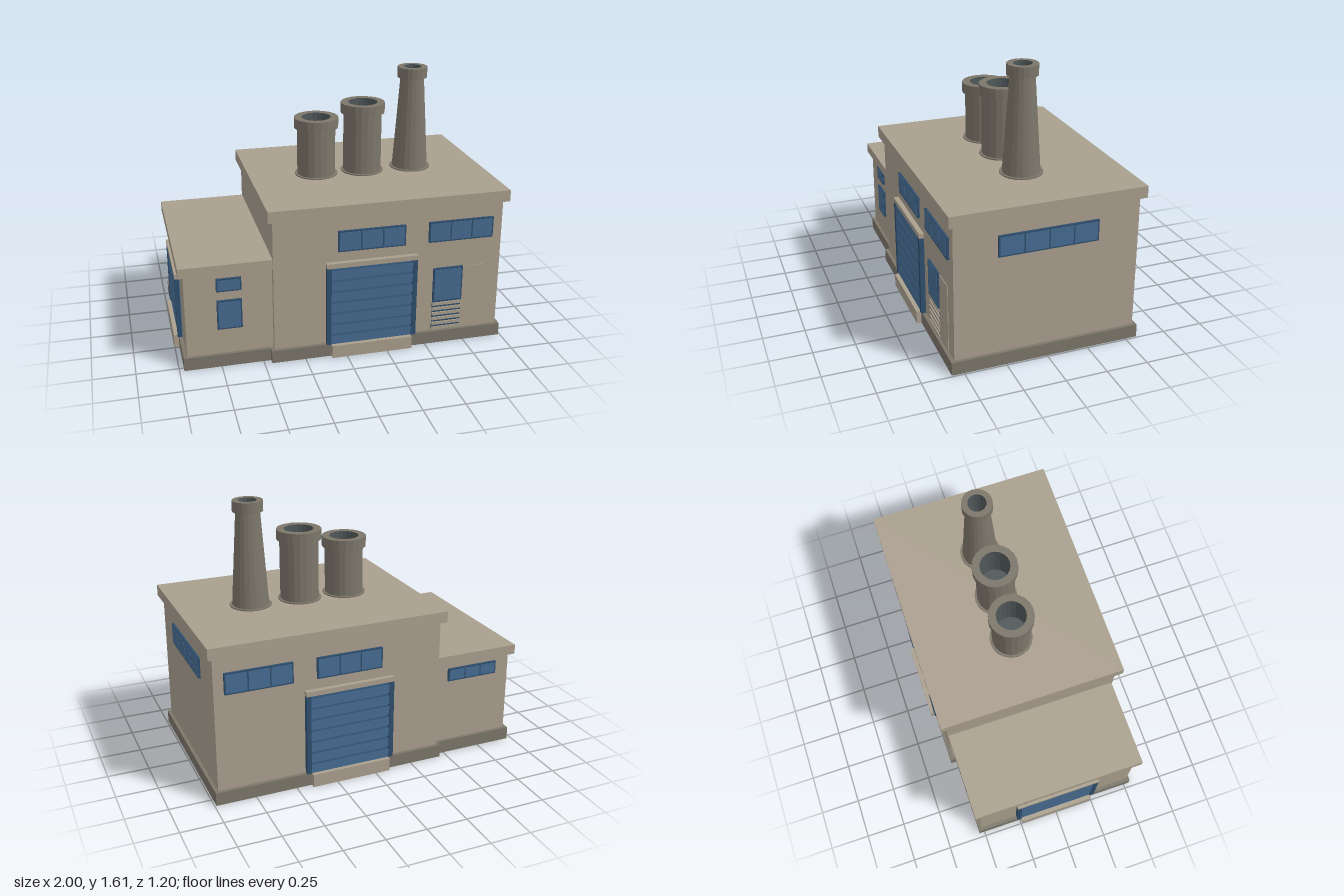
import * as THREE from 'three';

const mat = (name, color) => {
  const m = new THREE.MeshStandardMaterial({ color });
  m.name = name;
  return m;
};

export function createModel() {
  const tan = mat('tan wall', 0xaa9f8e);
  const grey = mat('grey stone', 0x7c766a);
  const blue = mat('blue panel', 0x466c92);
  const navy = mat('dark blue frame', 0x2f4f6e);
  const soot = mat('chimney inside', 0x50585a);
  const model = new THREE.Group();
  model.name = 'factory';

  // Box given by its minimum and maximum on each axis
  const box = (parent, name, material, x0, x1, y0, y1, z0, z1) => {
    const m = new THREE.Mesh(new THREE.BoxGeometry(x1 - x0, y1 - y0, z1 - z0), material);
    m.position.set((x0 + x1) / 2, (y0 + y1) / 2, (z0 + z1) / 2);
    m.name = name;
    parent.add(m);
    return m;
  };

  // Group whose local z = 0 is a wall plane, facing outwards
  const wall = (name, x, z, turn) => {
    const g = new THREE.Group();
    g.name = name;
    g.position.set(x, 0, z);
    g.rotation.y = turn;
    model.add(g);
    return g;
  };

  // Framed window with a row of panes
  const windowRow = (parent, x0, x1, y0, y1, panes) => {
    box(parent, 'windowFrame', navy, x0, x1, y0, y1, -0.01, 0.014);
    const b = 0.009, w = (x1 - x0 - b) / panes;
    for (let i = 0; i < panes; i++) {
      box(parent, 'windowPane', blue, x0 + b + i * w, x0 + (i + 1) * w, y0 + b, y1 - b, 0.01, 0.016);
    }
  };

  // Slatted loading door with jambs, lintel and step
  const loadingDoor = (parent, x0, x1, top, slats) => {
    const base = 0.08, jamb = 0.028, pitch = (top - base) / slats;
    box(parent, 'doorBacking', blue, x0, x1, base, top, -0.01, 0.004);
    for (let i = 0; i < slats; i++) {
      const y = base + i * pitch;
      box(parent, 'doorSlat', [blue, blue, navy, navy, blue, blue],
        x0 + jamb, x1 - jamb, y, y + pitch - 0.016, 0, 0.025);
    }
    box(parent, 'doorJamb', navy, x0, x0 + jamb, base, top, -0.01, 0.03);
    box(parent, 'doorJamb', navy, x1 - jamb, x1, base, top, -0.01, 0.03);
    box(parent, 'doorLintel', tan, x0, x1, top, top + 0.03, -0.01, 0.03);
    box(parent, 'doorStep', tan, x0 + 0.03, x1 - 0.03, 0, base, -0.01, 0.051);
  };

  // Main hall
  box(model, 'hallPlinth', grey, -0.455, 0.99, 0, 0.08, -0.572, 0.572);
  box(model, 'hallWalls', tan, -0.435, 0.97, 0.08, 0.9, -0.55, 0.55);
  box(model, 'hallRoof', tan, -0.465, 1, 0.9, 0.97, -0.58, 0.58);

  // Lower side wing
  box(model, 'wingPlinth', grey, -0.972, -0.455, 0, 0.08, -0.535, 0.535);
  box(model, 'wingWalls', tan, -0.95, -0.435, 0.08, 0.6, -0.515, 0.515);
  box(model, 'wingRoof', tan, -0.98, -0.435, 0.6, 0.66, -0.543, 0.543);

  // Front and back of the hall; the back mirrors the layout
  const front = wall('hallFront', 0, 0.55, 0);
  const back = wall('hallBack', 0, -0.55, Math.PI);
  for (const [g, s] of [[front, 1], [back, -1]]) {
    const span = (a, b) => (s > 0 ? [a, b] : [-b, -a]);
    windowRow(g, ...span(-0.05, 0.36), 0.675, 0.805, 3);
    windowRow(g, ...span(0.505, 0.91), 0.675, 0.805, 3);
    loadingDoor(g, ...span(-0.122, 0.435), 0.58, 7);
  }

  // Front service door: window above louvres, plain panel beside it
  windowRow(front, 0.545, 0.73, 0.278, 0.5, 1);
  box(front, 'louvreBacking', navy, 0.545, 0.73, 0.08, 0.28, -0.01, 0.004);
  for (let i = 0; i < 6; i++) {
    const y = 0.085 + i * 0.033;
    box(front, 'louvre', tan, 0.545, 0.73, y, y + 0.019, 0, 0.012);
  }
  box(front, 'servicePanel', tan, 0.73, 0.875, 0.08, 0.495, -0.01, 0.004);

  // Hall end wall
  const end = wall('hallEnd', 0.97, 0, Math.PI / 2);
  windowRow(end, -0.297, 0.297, 0.678, 0.805, 4);

  // Wing openings
  const wingFront = wall('wingFront', 0, 0.515, 0);
  windowRow(wingFront, -0.765, -0.618, 0.243, 0.427, 1);
  windowRow(wingFront, -0.765, -0.618, 0.485, 0.566, 1);
  const wingBack = wall('wingBack', 0, -0.515, Math.PI);
  windowRow(wingBack, 0.52, 0.855, 0.485, 0.566, 3);
  const wingEnd = wall('wingEnd', -0.95, 0, -Math.PI / 2);
  loadingDoor(wingEnd, -0.27, 0.27, 0.47, 6);
  windowRow(wingEnd, -0.297, 0.297, 0.503, 0.575, 4);

  // Chimneys: faceted lathes with a collar, a hollow bore and a foot ring
  const lathe = (parent, name, material, points) => {
    const smooth = new THREE.LatheGeometry(points.map(p => new THREE.Vector2(...p)), 20);
    const geo = smooth.toNonIndexed();
    geo.computeVertexNormals();
    const m = new THREE.Mesh(geo, material);
    m.name = name;
    parent.add(m);
  };
  const chimney = (x, rBottom, rTop, rCollar, rBore, yCollar, yTop) => {
    const g = new THREE.Group();
    g.name = 'chimney';
    g.position.x = x;
    model.add(g);
    const yDeep = yTop - 0.25, foot = rBottom + 0.015;
    lathe(g, 'chimneyFoot', grey, [[foot, 0.965], [foot, 0.977], [rBottom - 0.01, 0.977]]);
    lathe(g, 'chimneyShaft', grey, [[rBottom, 0.965], [rTop, yCollar]]);
    lathe(g, 'chimneyCollar', grey,
      [[rTop - 0.005, yCollar], [rCollar, yCollar], [rCollar, yTop], [rBore, yTop]]);
    lathe(g, 'chimneyBore', soot, [[rBore, yTop], [rBore, yDeep], [0, yDeep]]);
  };
  chimney(-0.047, 0.118, 0.118, 0.136, 0.09, 1.27, 1.333);
  chimney(0.248, 0.118, 0.118, 0.136, 0.09, 1.345, 1.408);
  chimney(0.563, 0.112, 0.072, 0.091, 0.055, 1.547, 1.612);

  return model;
}
